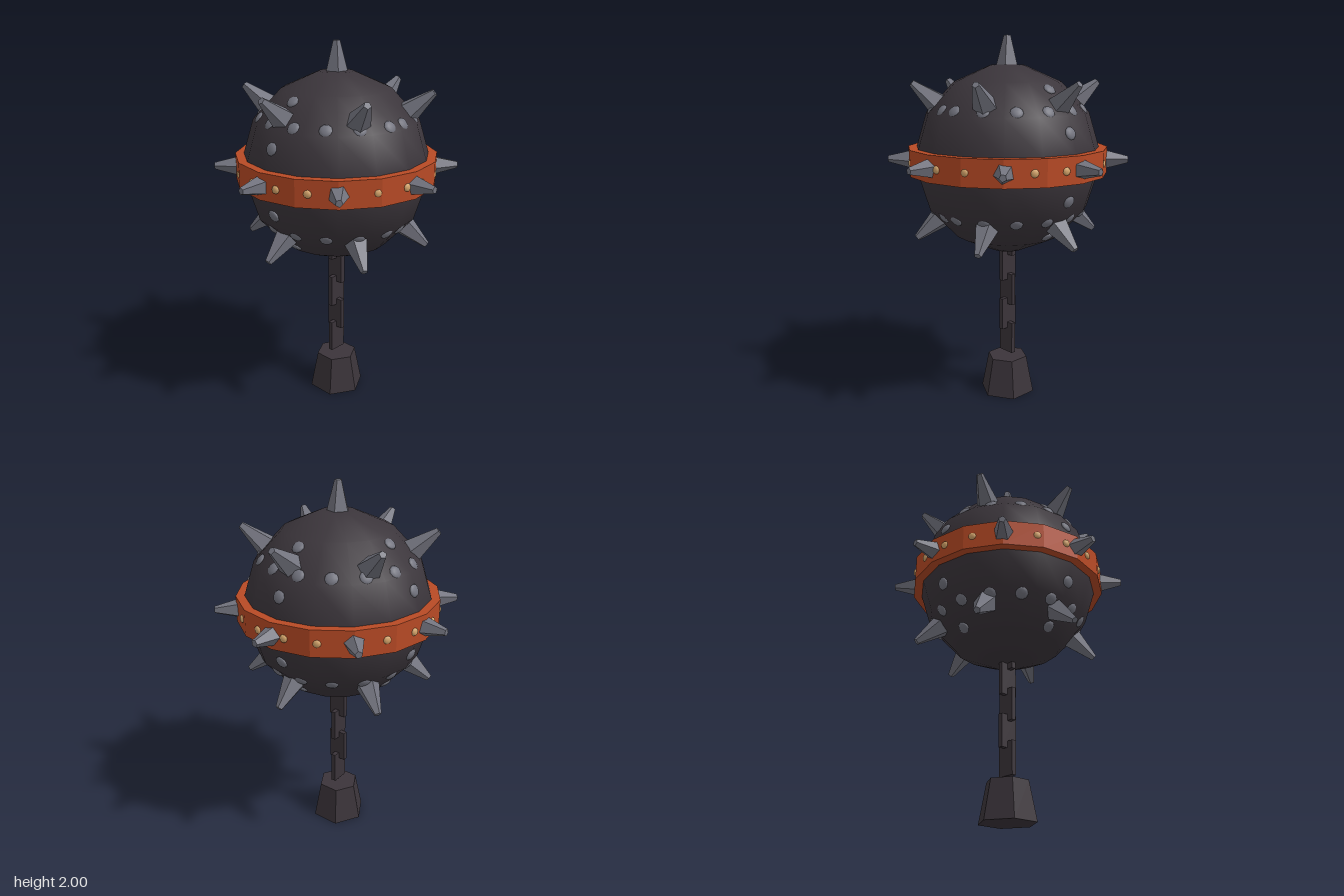
import * as THREE from 'three';

const RAD = Math.PI / 180;
const UP = new THREE.Vector3(0, 1, 0);

function makeMaterial(name, color, flatShading = true) {
  const m = new THREE.MeshStandardMaterial({ color, flatShading });
  m.name = name;
  return m;
}

// unit direction from azimuth (0 = +x, 90 = +z) and elevation
function direction(az, el) {
  return new THREE.Vector3(
    Math.cos(el * RAD) * Math.cos(az * RAD),
    Math.sin(el * RAD),
    Math.cos(el * RAD) * Math.sin(az * RAD)
  );
}

export function createModel() {
  const darkIron = makeMaterial('dark iron', 0x3b353b, false);
  const chainIron = makeMaterial('chain iron', 0x3b343a);
  const steel = makeMaterial('steel', 0x73747f);
  const rivetSteel = makeMaterial('rivet steel', 0x73747f, false);
  const rust = makeMaterial('rust orange', 0xb84a25);
  const brass = makeMaterial('brass', 0xd6a66c, false);

  const model = new THREE.Group();
  model.name = 'spikedBall';
  const head = new THREE.Group();
  head.name = 'head';
  head.position.y = 1.35;
  model.add(head);

  const add = (parent, name, geometry, material) => {
    const mesh = new THREE.Mesh(geometry, material);
    mesh.name = name;
    parent.add(mesh);
    return mesh;
  };

  // part standing on the ball, its own y axis pointing outwards
  const addOutward = (name, geometry, material, az, el, radius) => {
    const dir = direction(az, el);
    const mesh = add(head, name, geometry, material);
    mesh.position.copy(dir).multiplyScalar(radius);
    mesh.quaternion.setFromUnitVectors(UP, dir);
  };

  // coarse, smooth-shaded ball
  const half = [[0, 0.502], [0.09, 0.498], [0.286, 0.412], [0.436, 0.252], [0.495, 0.06]];
  const profile = [
    ...half.map(([r, y]) => new THREE.Vector2(r, -y)),
    ...half.slice().reverse().map(([r, y]) => new THREE.Vector2(r, y)),
  ];
  const ballGeometry = new THREE.LatheGeometry(profile, 16);
  const pos = ballGeometry.attributes.position;
  const normal = new THREE.Vector3();
  for (let i = 0; i < pos.count; i++) {
    normal.fromBufferAttribute(pos, i).normalize();
    ballGeometry.attributes.normal.setXYZ(i, normal.x, normal.y, normal.z);
  }
  add(head, 'ball', ballGeometry, darkIron);

  // band around the equator
  add(head, 'band', new THREE.CylinderGeometry(0.538, 0.538, 0.14, 16), rust);

  // blunt five-sided spikes: one on top, six above, eight around, six below
  const spike = new THREE.CylinderGeometry(0.019, 0.072, 0.2, 5);
  spike.rotateY(-Math.PI / 2);
  addOutward('topSpike', spike, steel, 0, 90, 0.55);
  for (let i = 0; i < 6; i++) {
    addOutward('upperSpike', spike, steel, 30 + i * 60, 39, 0.55);
    addOutward('lowerSpike', spike, steel, 30 + i * 60, -39.5, 0.55);
  }
  for (let i = 0; i < 8; i++) addOutward('bandSpike', spike, steel, i * 45, 0, 0.55);

  // low rivets in a row above and below the band
  const rivet = new THREE.SphereGeometry(0.034, 10, 6).scale(1, 0.4, 1);
  for (let i = 0; i < 16; i++) {
    const az = 7 + (i * 346) / 15;
    for (const side of [-1, 1]) addOutward('ballRivet', rivet, rivetSteel, az, side * 34, 0.49);
  }
  // rivets along the upright seams
  for (const az of [89, 180, 271]) {
    for (const el of [-50.7, -20.5, 20.5, 50.7]) {
      addOutward('seamRivet', rivet, rivetSteel, az, el, 0.49);
    }
  }

  // small studs on the band
  const stud = new THREE.SphereGeometry(0.021, 10, 6).scale(1, 0.55, 1);
  for (let i = 0; i < 20; i++) addOutward('bandStud', stud, brass, 6 + (i * 348) / 19, 0, 0.53);

  // chain of flat links, each turned a quarter from the last
  const link = new THREE.BoxGeometry(0.1, 0.18, 0.026);
  for (let i = 0; i < 5; i++) {
    const mesh = add(model, 'chainLink', link, chainIron);
    mesh.position.y = 0.325 + i * 0.145;
    mesh.rotation.y = i % 2 === 0 ? Math.PI / 2 : 0;
  }

  // six-sided weight at the foot
  const weight = add(model, 'footWeight', new THREE.CylinderGeometry(0.113, 0.155, 0.21, 6), chainIron);
  weight.position.y = 0.105;
  weight.rotation.y = Math.PI / 2;

  return model;
}
